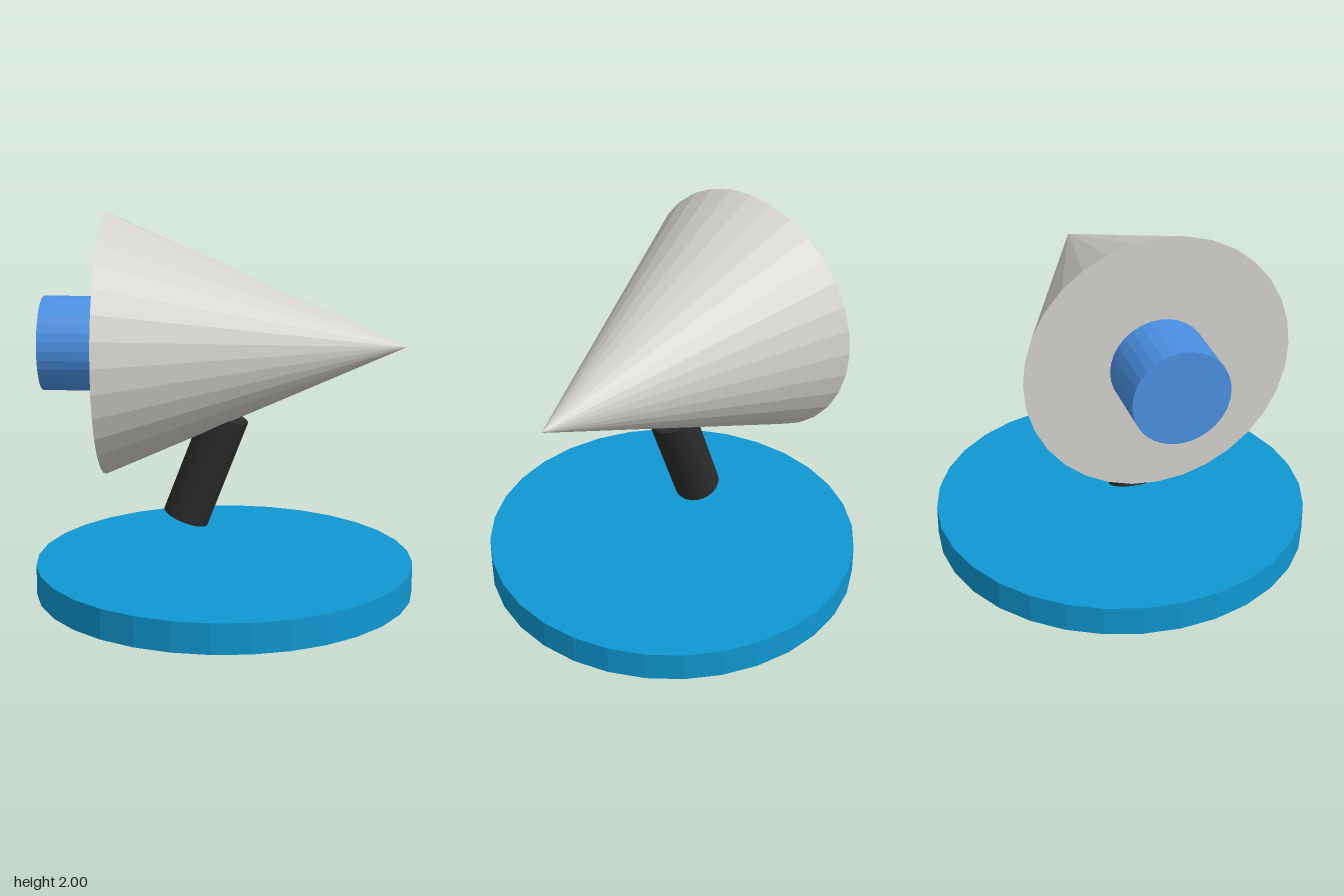
import * as THREE from 'three';

const SIDES = 32;

function material(name, color) {
  const m = new THREE.MeshStandardMaterial({ color, flatShading: true });
  m.name = name;
  return m;
}

export function createModel() {
  const model = new THREE.Group();
  model.name = 'pointerOnStand';

  const cyan = material('cyan', 0x0f98d2);
  const blue = material('blue', 0x4a90e2);
  const grey = material('warmGrey', 0xd3d1cc);
  const black = material('black', 0x2b2b2b);

  const add = (name, geometry, mat, x, y, tilt = 0) => {
    const mesh = new THREE.Mesh(geometry, mat);
    mesh.name = name;
    mesh.position.set(x, y, 0);
    mesh.rotation.z = tilt;
    model.add(mesh);
  };

  // Round base plate
  add('base', new THREE.CylinderGeometry(1, 1, 0.16, SIDES), cyan, 0, 0.08);

  // Tilted post, floating above the base and running into the cone
  add('post', new THREE.CylinderGeometry(0.123, 0.123, 0.6, SIDES), black,
    -0.098, 0.67, THREE.MathUtils.degToRad(-21));

  // Sideways cone with its tip towards +x
  add('cone', new THREE.ConeGeometry(0.68, 1.55, SIDES), grey, 0.167, 1.32, -Math.PI / 2);

  // Stub on the flat end of the cone
  add('rearStub', new THREE.CylinderGeometry(0.247, 0.247, 0.345, SIDES), blue,
    -0.7725, 1.32, -Math.PI / 2);

  return model;
}
